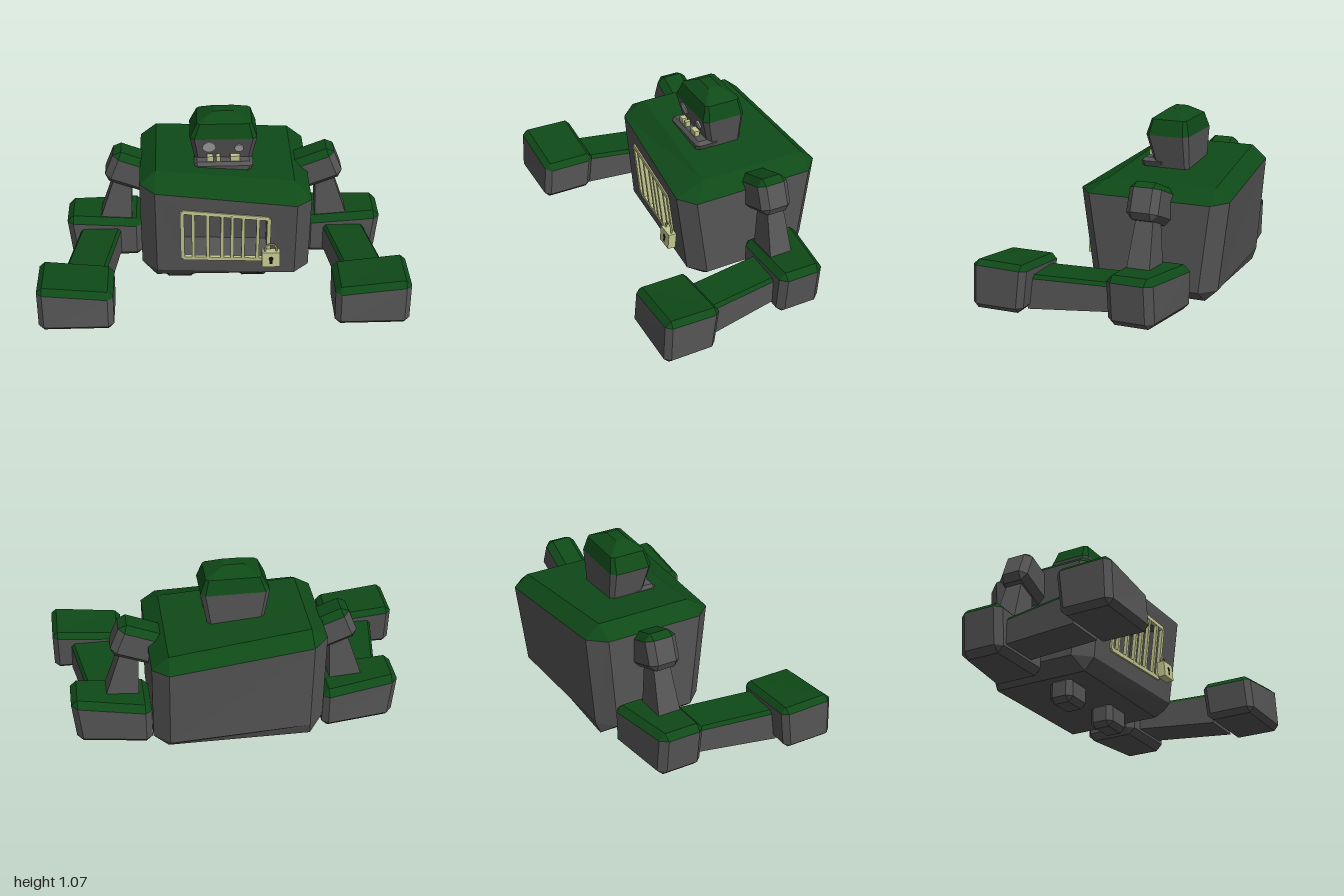
import * as THREE from 'three';

const mat = (color) => new THREE.MeshStandardMaterial({ color, flatShading: true, side: THREE.DoubleSide });
const STONE = mat(0x555555), MOSS = mat(0x0f4a18), BRASS = mat(0xc3c78f), EYE = mat(0xa8a8a8), BLACK = mat(0x111111);
const V = (x, y, z) => new THREE.Vector3(x, y, z);

function add(parent, name, geometry, material, x = 0, y = 0, z = 0) {
  const mesh = new THREE.Mesh(geometry, material);
  mesh.name = name;
  mesh.position.set(x, y, z);
  parent.add(mesh);
  return mesh;
}

// Flat polygons, each a fan of corners in counter-clockwise order
function facets(polygons) {
  const points = [];
  for (const p of polygons)
    for (let i = 1; i < p.length - 1; i++) points.push(p[0], p[i], p[i + 1]);
  const geometry = new THREE.BufferGeometry().setFromPoints(points);
  geometry.computeVertexNormals();
  return geometry;
}

// Four corners in the order front -x, front +x, back +x, back -x
const quad = (x0, x1, y, z0, z1) => [V(x0, y, z1), V(x1, y, z1), V(x1, y, z0), V(x0, y, z0)];
const toward = (a, b, d) => b.clone().sub(a).normalize().multiplyScalar(d);
const neighbours = (q, k) => [q[(k + 3) % 4], q[(k + 1) % 4]];

// Cut each corner of a quad, giving an eight-point ring
const cut = (q, c) => q.flatMap((p, k) => neighbours(q, k).map((n) => p.clone().add(toward(p, n, c))));
// Shrink a quad by d on all sides, as an eight-point ring
const inset = (q, d) => cut(q.map((p, k) => {
  const [a, b] = neighbours(q, k);
  return p.clone().add(toward(p, a, d)).add(toward(p, b, d));
}), 0);

// Skin over rings from bottom to top; bands from mossFrom upward are moss
function loft(parent, name, rings, mossFrom, { s = 1, axis = 0, skip } = {}) {
  const group = new THREE.Group();
  group.name = name;
  parent.add(group);
  const r = rings.map((ring) => {
    const out = ring.map((p) => V(s * (p.x - axis) + axis, p.y, p.z));
    return s < 0 ? out.reverse() : out;
  });
  const last = r.length - 1, n = r[0].length;
  const stone = [[...r[0]].reverse()], moss = [];
  for (let i = 0; i < last; i++)
    for (let j = 0; j < n; j++) {
      if (skip && skip[0] === i && skip[1] === j) continue;
      const k = (j + 1) % n;
      (i >= mossFrom ? moss : stone).push([r[i][j], r[i][k], r[i + 1][k], r[i + 1][j]]);
    }
  (mossFrom <= last ? moss : stone).push(r[last]);
  add(group, name + 'Stone', facets(stone), STONE);
  if (moss.length) add(group, name + 'Moss', facets(moss), MOSS);
  return group;
}

// Bevelled block between two quads
function block(parent, name, bottom, top, c, mossy, options) {
  const up = top[0].clone().sub(bottom[0]).normalize().multiplyScalar(c);
  const rings = [
    inset(bottom, c),
    cut(bottom.map((p) => p.clone().add(up)), c),
    cut(top.map((p) => p.clone().sub(up)), c),
    inset(top, c),
  ];
  return loft(parent, name, rings, mossy ? 2 : 9, options);
}

// Square bar between two points
function bar(parent, name, a, b, w) {
  const mesh = add(parent, name, new THREE.BoxGeometry(w, a.distanceTo(b), 0.02), BRASS);
  mesh.position.copy(a).lerp(b, 0.5);
  mesh.quaternion.setFromUnitVectors(V(0, 1, 0), toward(a, b, 1));
}

function buildBody(model) {
  const low = [V(-0.45, 0.19, 0.13), V(0.49, 0.185, 0.18), V(0.49, 0.185, -0.545), V(-0.45, 0.19, -0.49)];
  const high = [V(-0.45, 0.735, 0.175), V(0.49, 0.662, 0.245), V(0.49, 0.662, -0.605), V(-0.45, 0.735, -0.535)];
  const roof = [V(-0.36, 0.8, 0.06), V(0.4, 0.735, 0.08), V(0.4, 0.735, -0.52), V(-0.36, 0.8, -0.46)];
  const rings = [cut(quad(-0.37, 0.41, 0.12, -0.47, 0.08), 0), cut(low, 0.085), cut(high, 0.085), cut(roof, 0)];
  const body = loft(model, 'body', rings, 2, { skip: [1, 1] });

  // Front wall with a recessed cell window
  const outer = [rings[1][1], rings[1][2], rings[2][2], rings[2][1]];
  const wall = (x, y) => {
    const u = (x + 0.365) / 0.77, v = (y - 0.19) / 0.5;
    const z = (a, b) => THREE.MathUtils.lerp(a.z, b.z, u);
    return V(x, y, THREE.MathUtils.lerp(z(outer[0], outer[1]), z(outer[3], outer[2]), v));
  };
  const hole = [wall(-0.22, 0.285), wall(0.255, 0.285), wall(0.255, 0.58), wall(-0.22, 0.615)];
  const deep = hole.map((p) => V(p.x, p.y, p.z - 0.2));
  const faces = [deep];
  for (let k = 0; k < 4; k++) {
    const n = (k + 1) % 4;
    faces.push([outer[k], outer[n], hole[n], hole[k]], [hole[k], hole[n], deep[n], deep[k]]);
  }
  add(body, 'cellWall', facets(faces), STONE);

  // Window frame and bars
  hole.forEach((p, k) => bar(body, 'windowFrame', p, hole[(k + 1) % 4], 0.022));
  for (const x of [-0.16, -0.08, 0, 0.055, 0.115, 0.195])
    bar(body, 'windowBar', wall(x, 0.285), wall(x, 0.615 - 0.074 * (x + 0.22)), 0.018);

  // Padlock
  const lock = new THREE.Group();
  lock.name = 'padlock';
  lock.position.set(0.268, 0.32, 0.222);
  lock.rotation.x = -0.08;
  body.add(lock);
  add(lock, 'lockCase', new THREE.BoxGeometry(0.1, 0.09, 0.045), BRASS);
  add(lock, 'shackle', new THREE.TorusGeometry(0.032, 0.006, 6, 12, Math.PI), BRASS, 0, 0.055, 0);
  for (const x of [-0.032, 0.032])
    add(lock, 'shackleLeg', new THREE.CylinderGeometry(0.006, 0.006, 0.02, 6), BRASS, x, 0.047, 0);
  add(lock, 'keyholeTop', new THREE.CircleGeometry(0.014, 10), BLACK, 0, 0.008, 0.024);
  add(lock, 'keyholeSlot', new THREE.PlaneGeometry(0.018, 0.03), BLACK, 0, -0.012, 0.024);
}

function buildHead(model) {
  const rings = [
    cut(quad(-0.135, 0.165, 0.74, -0.275, -0.085), 0.02),
    cut(quad(-0.17, 0.2, 0.935, -0.28, -0.037), 0.025),
    cut(quad(-0.13, 0.17, 1.018, -0.26, -0.06), 0.015),
    cut(quad(-0.04, 0.07, 1.065, -0.19, -0.125), 0),
  ];
  const head = loft(model, 'head', rings, 1);
  block(head, 'jaw', quad(-0.14, 0.17, 0.74, -0.14, -0.005), quad(-0.15, 0.175, 0.803, -0.14, -0.003), 0.018);
  for (const [x, w] of [[-0.06, 0.035], [-0.015, 0.022], [0.078, 0.052]])
    add(head, 'tooth', new THREE.BoxGeometry(w, 0.035, 0.03), BRASS, x, 0.816, -0.04);
  for (const [x, y, r] of [[-0.065, 0.885, 0.035], [0.1, 0.873, 0.025]]) {
    const eye = add(head, 'eye', new THREE.CylinderGeometry(r, r, 0.012, 12), EYE, x, y, -0.05);
    eye.rotation.x = Math.PI / 2 + 0.24;
  }
}

function buildArm(model, s) {
  const arm = new THREE.Group();
  arm.name = s > 0 ? 'leftArm' : 'rightArm';
  model.add(arm);
  const side = { s, axis: 0.02 };

  // Shoulder block, raised at its outer end
  const tilt = (q) => q.map((p) => p.applyAxisAngle(V(0, 0, 1), 0.38).add(V(0.545, 0.66, 0)));
  block(arm, 'shoulder', tilt(quad(-0.14, 0.13, -0.1, -0.305, -0.13)),
    tilt(quad(-0.14, 0.13, 0.1, -0.305, -0.13)), 0.035, true, side);

  loft(arm, 'upperArm', [quad(0.55, 0.745, 0.3, -0.29, -0.155), quad(0.54, 0.63, 0.64, -0.27, -0.18)], 9, side);

  block(arm, 'elbow', [V(0.49, 0.1, -0.12), V(0.9, 0.1, -0.12), V(0.9, 0.1, -0.37), V(0.49, 0.1, -0.43)],
    [V(0.49, 0.345, -0.12), V(0.92, 0.375, -0.12), V(0.92, 0.375, -0.37), V(0.49, 0.345, -0.435)], 0.035, true, side);

  // Forearm, running forward to the fist
  const slab = (yFront, yBack, d) => [V(0.67 + d, yFront, 0.32), V(0.9 - d, yFront, 0.32),
    V(0.82 - d, yBack, -0.15), V(0.59 + d, yBack, -0.15)];
  loft(arm, 'forearm', [slab(0.13, 0.15, 0), slab(0.295, 0.282, 0), slab(0.315, 0.3, 0.015)], 1, { s, axis: 0.01 });

  block(arm, 'fist', quad(0.595, 1, 0.128, 0.31, 0.6),
    [V(0.595, 0.35, 0.58), V(1, 0.397, 0.585), V(1, 0.39, 0.28), V(0.595, 0.35, 0.285)], 0.03, true, { s });
}

export function createModel() {
  const model = new THREE.Group();
  model.name = 'stoneGolem';
  buildBody(model);
  buildHead(model);
  for (const s of [1, -1]) buildArm(model, s);
  for (const x of [-0.237, 0.187])
    block(model, 'foot', quad(x - 0.093, x + 0.093, 0, -0.172, -0.032),
      quad(x - 0.093, x + 0.093, 0.14, -0.172, -0.032), 0.028);
  return model;
}
